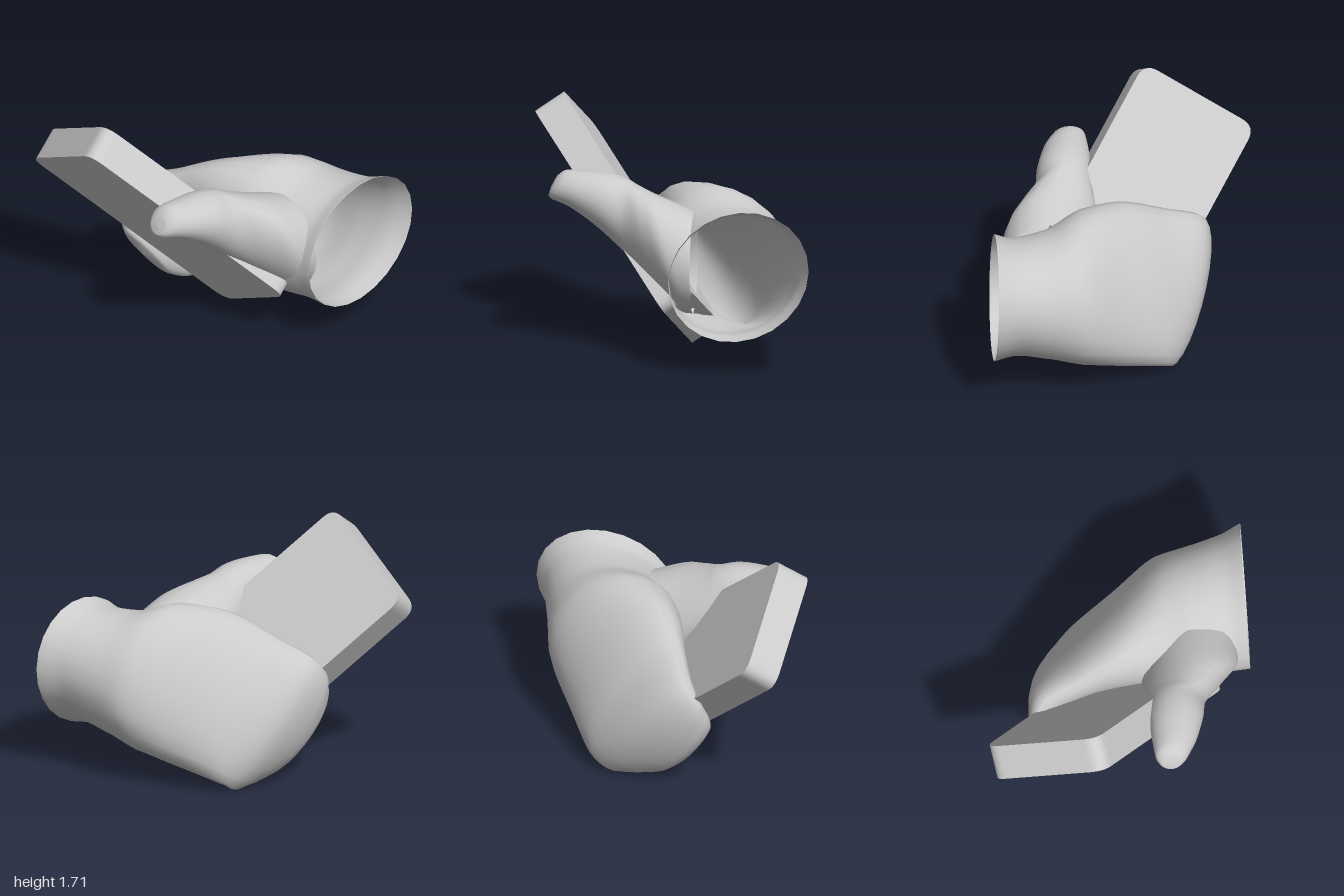
import * as THREE from 'three';

const V = (x, y, z) => new THREE.Vector3(x, y, z);
const material = new THREE.MeshStandardMaterial({ color: 0xcccccc, side: THREE.DoubleSide });

// Smooth skin through oval sections { c: centre, l: long half axis, s: short half axis }
function loft(name, sections, rings, sides) {
  const curve = (key) => new THREE.CatmullRomCurve3(sections.map((q) => q[key]));
  const [centre, long, short] = ['c', 'l', 's'].map(curve);
  const points = [];
  const index = [];
  for (let i = 0; i <= rings; i++) {
    const t = i / rings;
    const c = centre.getPoint(t), l = long.getPoint(t), s = short.getPoint(t);
    for (let j = 0; j < sides; j++) {
      const a = (j / sides) * Math.PI * 2;
      const p = c.clone().addScaledVector(l, Math.cos(a)).addScaledVector(s, Math.sin(a));
      points.push(p.x, p.y, p.z);
      if (i === rings) continue;
      const k = i * sides, n = (j + 1) % sides;
      index.push(k + j, k + n, k + sides + n, k + j, k + sides + n, k + sides + j);
    }
  }
  const geometry = new THREE.BufferGeometry();
  geometry.setAttribute('position', new THREE.Float32BufferAttribute(points, 3));
  geometry.setIndex(index);
  geometry.computeVertexNormals();
  const mesh = new THREE.Mesh(geometry, material);
  mesh.name = name;
  return mesh;
}

// Palm section: leans with the slab; curl turns the short axis towards the fingertips
function palm(x, y, z, a, b, curl = 0, lean = 0) {
  return {
    c: V(x, y, z),
    l: V(lean, 0.84, 0.54).normalize().multiplyScalar(a),
    s: V(-Math.sin(curl), 0.54 * Math.cos(curl), -0.84 * Math.cos(curl)).multiplyScalar(b),
  };
}

// Thumb section: width along x, height h tipped forward (+) or back (-) by tilt
function thumbRing(x, y, z, w, h, tilt) {
  return { c: V(x, y, z), l: V(w, 0, 0), s: V(0, h * Math.cos(tilt), h * Math.sin(tilt)) };
}

// Flat slab with rounded corners, sharp front and back edges
function slab() {
  const w = 0.9, h = 1.79, r = 0.11, depth = 0.24;
  const x = w / 2, y = h / 2;
  const shape = new THREE.Shape();
  shape.moveTo(-x + r, -y);
  shape.lineTo(x - r, -y);
  shape.quadraticCurveTo(x, -y, x, -y + r);
  shape.lineTo(x, y - r);
  shape.quadraticCurveTo(x, y, x - r, y);
  shape.lineTo(-x + r, y);
  shape.quadraticCurveTo(-x, y, -x, y - r);
  shape.lineTo(-x, -y + r);
  shape.quadraticCurveTo(-x, -y, -x + r, -y);
  const geometry = new THREE.ExtrudeGeometry(shape, { depth, bevelEnabled: false, curveSegments: 8 });
  geometry.translate(0, 0, -depth);
  const mesh = new THREE.Mesh(geometry, material);
  mesh.name = 'slab';
  const up = V(-0.918, 1.174, 0.97).normalize();
  const across = V(0.79, 0.41, 0.13);
  across.addScaledVector(up, -across.dot(up)).normalize();
  const out = across.clone().cross(up);
  mesh.quaternion.setFromRotationMatrix(new THREE.Matrix4().makeBasis(across, up, out));
  mesh.position.set(-0.103, 0.804, 0.45);
  return mesh;
}

export function createModel() {
  const model = new THREE.Group();
  model.add(slab());

  // Open wrist, palm, then fingers curling round the slab's edge
  model.add(loft('mittenHand', [
    palm(0.925, 0.735, -0.505, 0.44, 0.51, 0, -0.04),
    palm(0.78, 0.715, -0.47, 0.41, 0.48),
    palm(0.54, 0.69, -0.42, 0.45, 0.47),
    palm(0.3, 0.71, -0.38, 0.54, 0.43),
    palm(0, 0.66, -0.28, 0.57, 0.31),
    palm(-0.28, 0.55, -0.17, 0.55, 0.21, 0.2),
    palm(-0.43, 0.455, -0.06, 0.53, 0.17, 0.8, -0.2),
    palm(-0.46, 0.4, 0.06, 0.46, 0.13, 1.5, -0.28),
    palm(-0.45, 0.35, 0.17, 0.35, 0.12, 1.7, -0.28),
    palm(-0.44, 0.34, 0.24, 0.23, 0.08, 1.7, -0.28),
    palm(-0.44, 0.34, 0.265, 0.002, 0.002, 1.7, -0.28),
  ], 60, 24));

  // Thumb growing out of the palm and pressing along the slab's other edge
  model.add(loft('thumb', [
    thumbRing(0.53, 0.73, -0.16, 0.32, 0.36, 0),
    thumbRing(0.5, 0.79, 0.0, 0.33, 0.4, 0.2),
    thumbRing(0.43, 0.91, 0.18, 0.275, 0.33, 0.15),
    thumbRing(0.375, 1.03, 0.34, 0.205, 0.25, -0.05),
    thumbRing(0.36, 1.13, 0.5, 0.19, 0.185, -0.25),
    thumbRing(0.335, 1.19, 0.67, 0.155, 0.135, -0.4),
    thumbRing(0.305, 1.205, 0.8, 0.11, 0.11, -0.4),
    thumbRing(0.3, 1.195, 0.84, 0.07, 0.07, -0.4),
    thumbRing(0.3, 1.19, 0.85, 0.002, 0.002, -0.4),
  ], 48, 20));

  return model;
}
